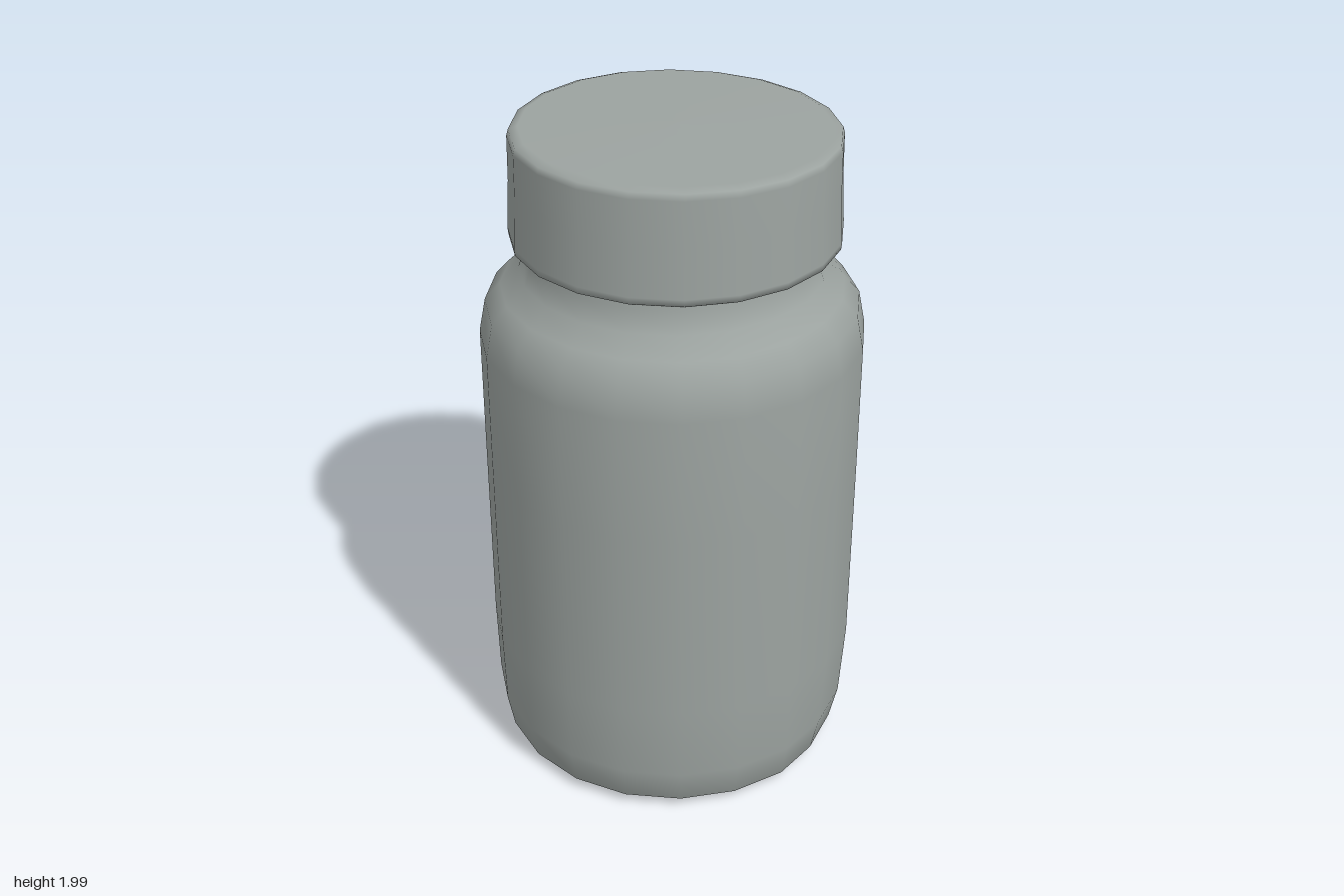
import * as THREE from 'three';

const SIDES = 20;

// Smooth revolved part from [radius, height] pairs, listed bottom to top
function turned(name, profile, material) {
  const points = profile.map(([r, y]) => new THREE.Vector2(r, y));
  const mesh = new THREE.Mesh(new THREE.LatheGeometry(points, SIDES), material);
  mesh.name = name;
  return mesh;
}

// Move every vertex by a rule
function reshape(mesh, rule) {
  const pos = mesh.geometry.attributes.position;
  const v = new THREE.Vector3();
  for (let i = 0; i < pos.count; i++) {
    rule(v.fromBufferAttribute(pos, i));
    pos.setXYZ(i, v.x, v.y, v.z);
  }
}

export function createModel() {
  const group = new THREE.Group();
  group.name = 'jar';
  const grey = new THREE.MeshStandardMaterial({ color: 0x9ca3a0 });
  grey.name = 'grey green';

  // Body with rounded foot, straight wall, sloped shoulder and neck
  const body = turned('body', [
    [0, 0.02], [0.44, 0.012], [0.495, 0.015], [0.535, 0.05], [0.555, 0.16],
    [0.56, 0.4], [0.557, 1.0], [0.555, 1.38], [0.535, 1.48], [0.49, 1.53],
    [0.435, 1.58], [0.415, 1.64], [0.41, 1.7],
  ], grey);
  // The foot draws in a little on the left side
  reshape(body, (p) => {
    if (p.y < 0.45 && p.x > 0.3) p.x -= 0.02 * (1 - p.y / 0.45);
  });
  group.add(body);

  // Wide closed cap, slightly off centre
  const cap = turned('cap', [
    [0.38, 1.655], [0.44, 1.665], [0.468, 1.68], [0.47, 1.7], [0.462, 1.84],
    [0.46, 1.97], [0.455, 1.988], [0.43, 1.997], [0, 2.0],
  ], grey);
  // Top leans down gently towards the left
  reshape(cap, (p) => {
    if (p.y > 1.9) p.y -= 0.016 * Math.max(0, p.x + 0.1);
    p.x += 0.01;
  });
  group.add(cap);

  return group;
}
